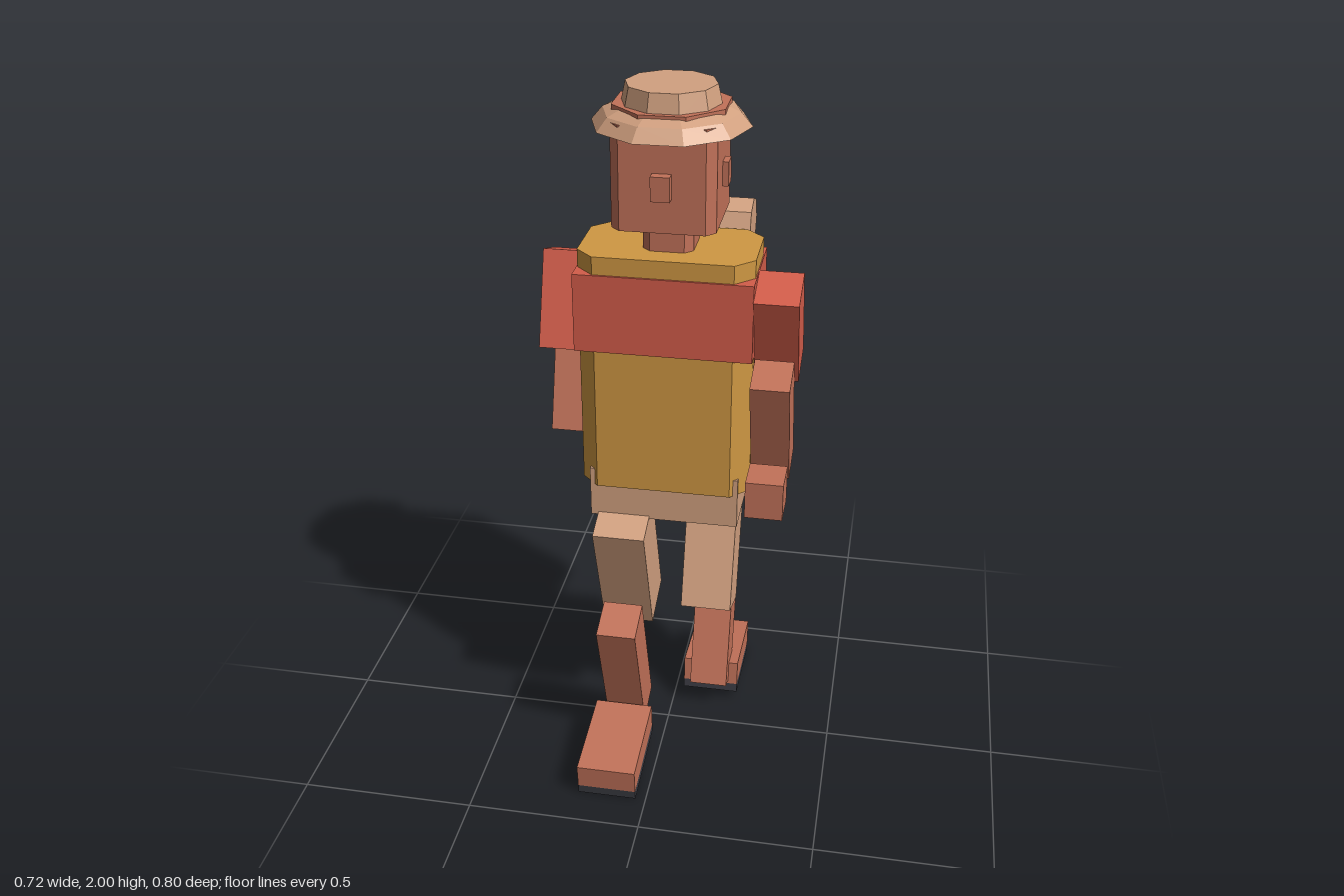
import * as THREE from 'three';

export function createModel() {
  const root = new THREE.Group();
  root.name = 'walkingHiker';

  const paint = (name, color) => {
    const m = new THREE.MeshStandardMaterial({ color });
    m.name = name;
    m.flatShading = true;
    return m;
  };
  const skin = paint('skin', 0xc27259);
  const red = paint('red', 0xd35d4a);
  const gold = paint('gold', 0xcf9843);
  const tan = paint('tan', 0xd2a180);
  const dark = paint('sole', 0x3a3b42);

  const CZ = -0.043; // depth of the body's middle plane

  const add = (name, geo, mat, x, y, z, tilt = 0, parent = root) => {
    const mesh = new THREE.Mesh(geo, mat);
    mesh.name = name;
    mesh.position.set(x, y, z);
    mesh.rotation.x = tilt;
    parent.add(mesh);
    return mesh;
  };
  const box = (w, h, d) => new THREE.BoxGeometry(w, h, d);

  // Upright block with its four vertical edges cut off, standing on y = 0
  const cutBlock = (w, h, d, c) => {
    const a = w / 2, b = d / 2;
    const shape = new THREE.Shape([
      [a, -b + c], [a, b - c], [a - c, b], [-a + c, b],
      [-a, b - c], [-a, -b + c], [-a + c, -b], [a - c, -b],
    ].map(([x, y]) => new THREE.Vector2(x, y)));
    return new THREE.ExtrudeGeometry(shape, { depth: h, bevelEnabled: false }).rotateX(-Math.PI / 2);
  };

  // Torso
  add('hips', box(0.42, 0.15, 0.255), tan, 0, 0.855, CZ);
  add('vest', cutBlock(0.476, 0.69, 0.272, 0.05), gold, 0, 0.88, CZ);
  add('shirtBand', box(0.482, 0.22, 0.284), red, 0, 1.41, CZ);
  add('neck', cutBlock(0.136, 0.1, 0.136, 0.022), skin, 0, 1.56, CZ);

  // Backpack with bedroll
  add('backpack', cutBlock(0.36, 0.555, 0.195, 0.045), red, 0, 0.95, -0.278);
  add('bedroll', new THREE.CylinderGeometry(0.077, 0.077, 0.385, 8).rotateZ(Math.PI / 2), tan, 0, 1.553, -0.265);

  // Head
  add('head', cutBlock(0.274, 0.275, 0.286, 0.025), skin, 0, 1.648, CZ - 0.002);
  add('nose', box(0.05, 0.065, 0.05), skin, 0, 1.773, 0.102);
  for (const s of [1, -1]) add('ear', box(0.04, 0.065, 0.05), skin, s * 0.133, 1.775, CZ - 0.002);

  // Hat
  const turn = Math.PI / 10;
  const brim = [[0, 1.885], [0.15, 1.885], [0.21, 1.895], [0.18, 1.93], [0.15, 1.943], [0, 1.943]]
    .map(([r, y]) => new THREE.Vector2(r, y));
  add('hatBrim', new THREE.LatheGeometry(brim, 10, turn), tan, 0, 0, CZ - 0.002);
  add('hatBand', new THREE.CylinderGeometry(0.158, 0.158, 0.04, 8, 1, false, Math.PI / 8), skin, 0, 1.931, CZ + 0.004 - 0.012);
  add('hatCrown', new THREE.CylinderGeometry(0.12, 0.133, 0.06, 10, 1, false, turn), tan, 0, 1.97, CZ - 0.002);

  // Limbs: s = 1 is the model's left. The two sides swing in opposite directions.
  for (const s of [1, -1]) {
    const side = s > 0 ? 'left' : 'right';

    const arm = new THREE.Group();
    arm.name = side + 'Arm';
    root.add(arm);
    add('upperArm', box(0.12, 0.272, 0.132), red, s * 0.3, 1.37, CZ + s * 0.045, s * 0.335, arm);
    add('forearm', box(0.106, 0.335, 0.115), skin, s * 0.297, 1.118, CZ + s * 0.104, s * 0.314, arm);
    add('hand', box(0.103, 0.108, 0.108), skin, s * 0.297, 0.95, CZ + s * 0.204, 0, arm);

    const leg = new THREE.Group();
    leg.name = side + 'Leg';
    root.add(leg);
    add('thigh', box(0.148, 0.39, 0.155), tan, s * 0.115, 0.6, CZ - s * 0.076, -s * 0.335, leg);
    add('shin', box(0.114, 0.43, 0.12), skin, s * 0.115, 0.275, CZ - s * 0.147, -s * 0.324, leg);

    const foot = new THREE.Group();
    foot.name = side + 'Foot';
    foot.position.set(s * 0.115, 0.068, -s * 0.257);
    foot.rotation.x = -s * 0.11;
    leg.add(foot);
    add('shoe', box(0.17, 0.075, 0.275), skin, 0, 0.0145, 0, 0, foot);
    add('sole', box(0.17, 0.028, 0.275), dark, 0, -0.037, 0, 0, foot);
  }

  return root;
}
